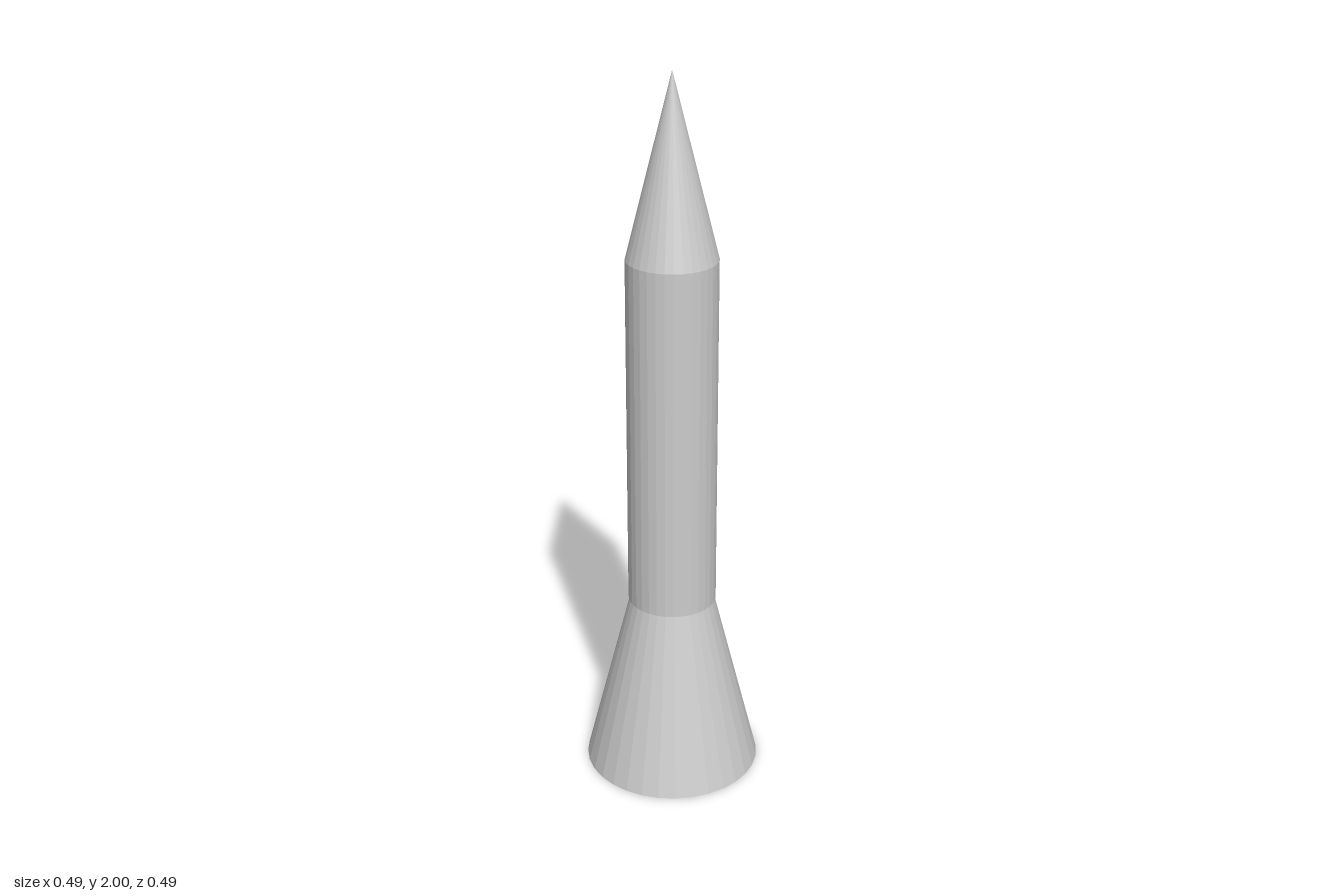
import * as THREE from 'three';

const SIDES = 32;

export function createModel() {
  const group = new THREE.Group();
  const material = new THREE.MeshStandardMaterial({ color: 0xcccccc, flatShading: true });

  function addPart(name, geometry, bottom, height) {
    const mesh = new THREE.Mesh(geometry, material);
    mesh.name = name;
    mesh.position.y = bottom + height / 2;
    group.add(mesh);
  }

  // Flared base: a full cone whose tip is hidden inside the body
  addPart('flaredBase', new THREE.ConeGeometry(0.247, 0.99, SIDES), 0, 0.99);
  // Straight body, slightly wider than the cone where they meet
  addPart('body', new THREE.CylinderGeometry(0.123, 0.123, 0.994, SIDES), 0.517, 0.994);
  // Pointed nose
  addPart('noseCone', new THREE.ConeGeometry(0.123, 0.489, SIDES), 1.511, 0.489);

  return group;
}
